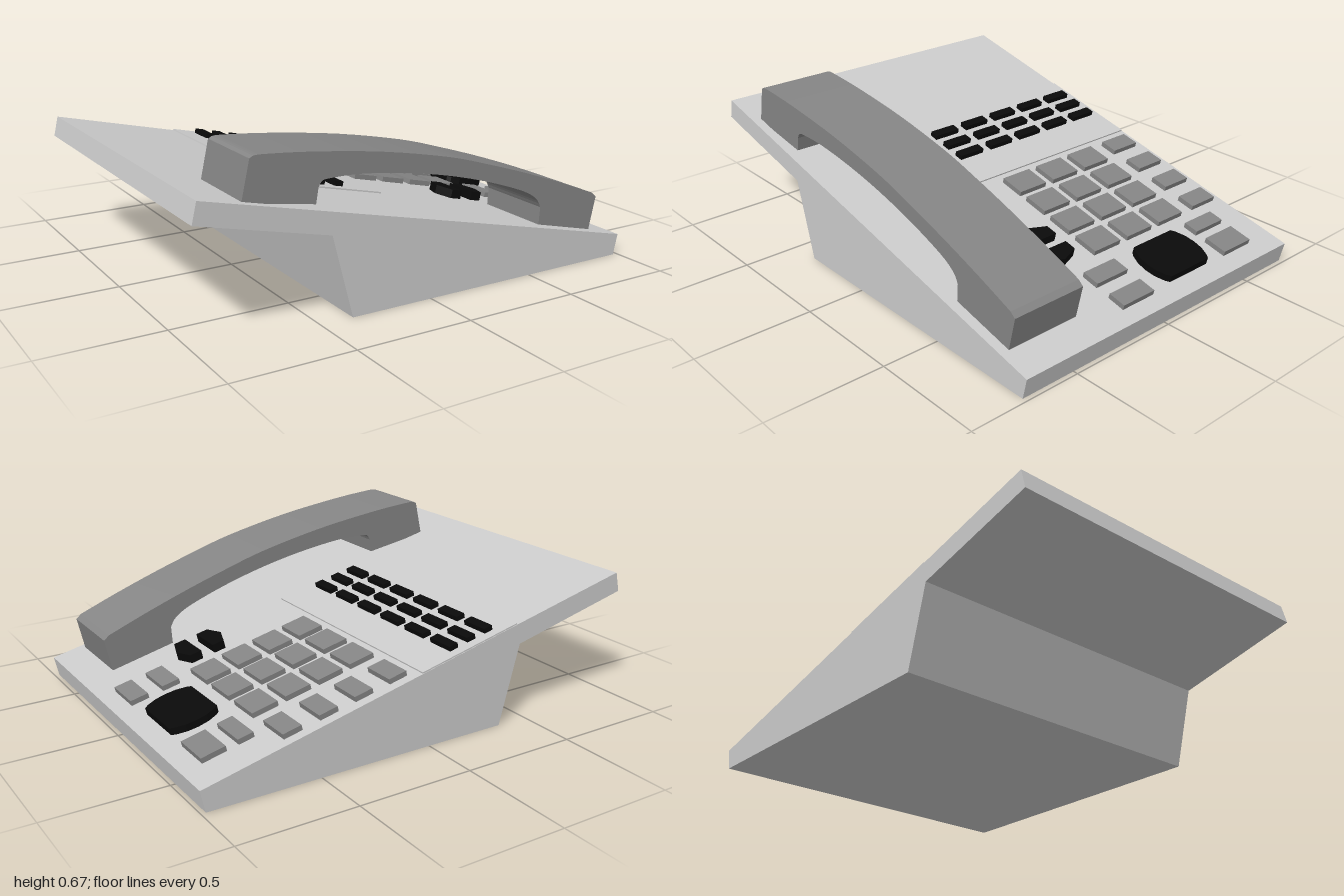
import * as THREE from 'three';

const body = new THREE.MeshStandardMaterial({ color: 0xcccccc });
const grey = new THREE.MeshStandardMaterial({ color: 0x858585 });
const black = new THREE.MeshStandardMaterial({ color: 0x0a0a0a });

const TILT = Math.atan(0.465 / 1.98); // slope of the top deck
const DECK_Y = 0.325;                 // deck height at x = 0
const v = (x, y) => new THREE.Vector2(x, y);

function add(parent, name, geometry, material) {
  const mesh = new THREE.Mesh(geometry, material);
  mesh.name = name;
  parent.add(mesh);
  return mesh;
}

// Side profile in x/y, extruded from z0 to z1
function profile(points, z0, z1) {
  const g = new THREE.ExtrudeGeometry(new THREE.Shape(points), { depth: z1 - z0, bevelEnabled: false });
  return g.translate(0, 0, z0);
}

// Outline in plan (x, z), raised to the given height above the deck
function raised(points, height) {
  const pts = points.map(([x, z]) => v(x / Math.cos(TILT), -z));
  const g = new THREE.ExtrudeGeometry(new THREE.Shape(pts), { depth: height + 0.01, bevelEnabled: false });
  return g.rotateX(-Math.PI / 2).translate(0, -0.01, 0);
}

const rect = (x0, x1, z0, z1) => [[x0, z1], [x1, z1], [x1, z0], [x0, z0]];

export function createModel() {
  const phone = new THREE.Group();
  phone.name = 'deskPhone';

  // Wedge housing with an overhanging upper end
  add(phone, 'housing', profile([
    v(-0.36, 0), v(0.98, 0), v(1, 0.09), v(-0.98, 0.555), v(-1, 0.47), v(-0.45, 0.34),
  ], -0.75, 0.75), body);

  // Handset: arched grip between two feet
  const top = new THREE.SplineCurve([
    v(0.87, 0.288), v(0.7, 0.355), v(0.5, 0.427), v(0.3, 0.492), v(0.1, 0.55),
    v(-0.2, 0.611), v(-0.5, 0.652), v(-0.7, 0.67), v(-0.745, 0.67),
  ]).getPoints(32);
  const under = new THREE.SplineCurve([
    v(-0.485, 0.515), v(-0.472, 0.536), v(-0.44, 0.544), v(-0.3, 0.541), v(-0.1, 0.515),
    v(0.1, 0.475), v(0.3, 0.42), v(0.48, 0.355), v(0.555, 0.31), v(0.58, 0.27),
  ]).getPoints(36);
  add(phone, 'handset', profile([
    v(0.575, 0.195), v(0.862, 0.125), v(0.893, 0.268), ...top,
    v(-0.76, 0.662), v(-0.795, 0.505), v(-0.495, 0.455), ...under,
  ], 0.375, 0.71), grey);

  // Everything below sits on the sloping deck
  const deck = new THREE.Group();
  deck.name = 'deck';
  deck.position.y = DECK_Y;
  deck.rotation.z = -TILT;
  phone.add(deck);

  add(deck, 'labelPanel', raised(rect(-0.43, 0.04, -0.748, 0.33), 0.006), body);

  // Three columns of line keys
  for (const x of [-0.317, -0.23, -0.143])
    for (let i = 0; i < 6; i++) {
      const z = -0.645 + i * 0.174;
      add(deck, 'lineKey', raised(rect(x - 0.021, x + 0.019, z - 0.063, z + 0.063), 0.027), black);
    }

  // Soft keys and number pad
  for (let c = 0; c < 4; c++) {
    const sx = 0.128 + c * 0.157;
    add(deck, 'softKey', raised(rect(sx - 0.042, sx + 0.038, -0.708, -0.562), 0.022), grey);
    const x = 0.143 + c * 0.148;
    for (const z of [-0.41, -0.215, -0.022])
      add(deck, 'numberKey', raised(rect(x - 0.058, x + 0.054, z - 0.074, z + 0.074), 0.022), grey);
  }

  // Side function keys
  for (const [x0, x1, z0, z1] of [
    [0.7, 0.766, -0.602, -0.435], [0.815, 0.917, -0.602, -0.435],
    [0.71, 0.786, 0.015, 0.187], [0.85, 0.927, 0.015, 0.187],
  ]) add(deck, 'functionKey', raised(rect(x0, x1, z0, z1), 0.022), grey);

  // Navigation pad: straight sides, bowed ends
  const bow = [[0.102, 0.112], [0.085, 0.125], [0.045, 0.141], [0, 0.146], [-0.045, 0.141], [-0.085, 0.125], [-0.102, 0.112]];
  add(deck, 'navigationPad', raised([
    ...bow.map(([x, z]) => [0.81 + x, -0.215 + z]),
    ...bow.map(([x, z]) => [0.81 - x, -0.215 - z]),
  ], 0.03), black);

  // Volume keys: mirrored pair with pointed outer sides
  for (const s of [-1, 1]) {
    const pts = [[0.028, 0.13], [0.08, 0.13], [0.108, 0.21], [0.08, 0.29], [0.028, 0.29]];
    add(deck, 'volumeKey', raised(pts.map(([x, z]) => [0.518 + s * x, z]), 0.038), black);
  }

  return phone;
}
